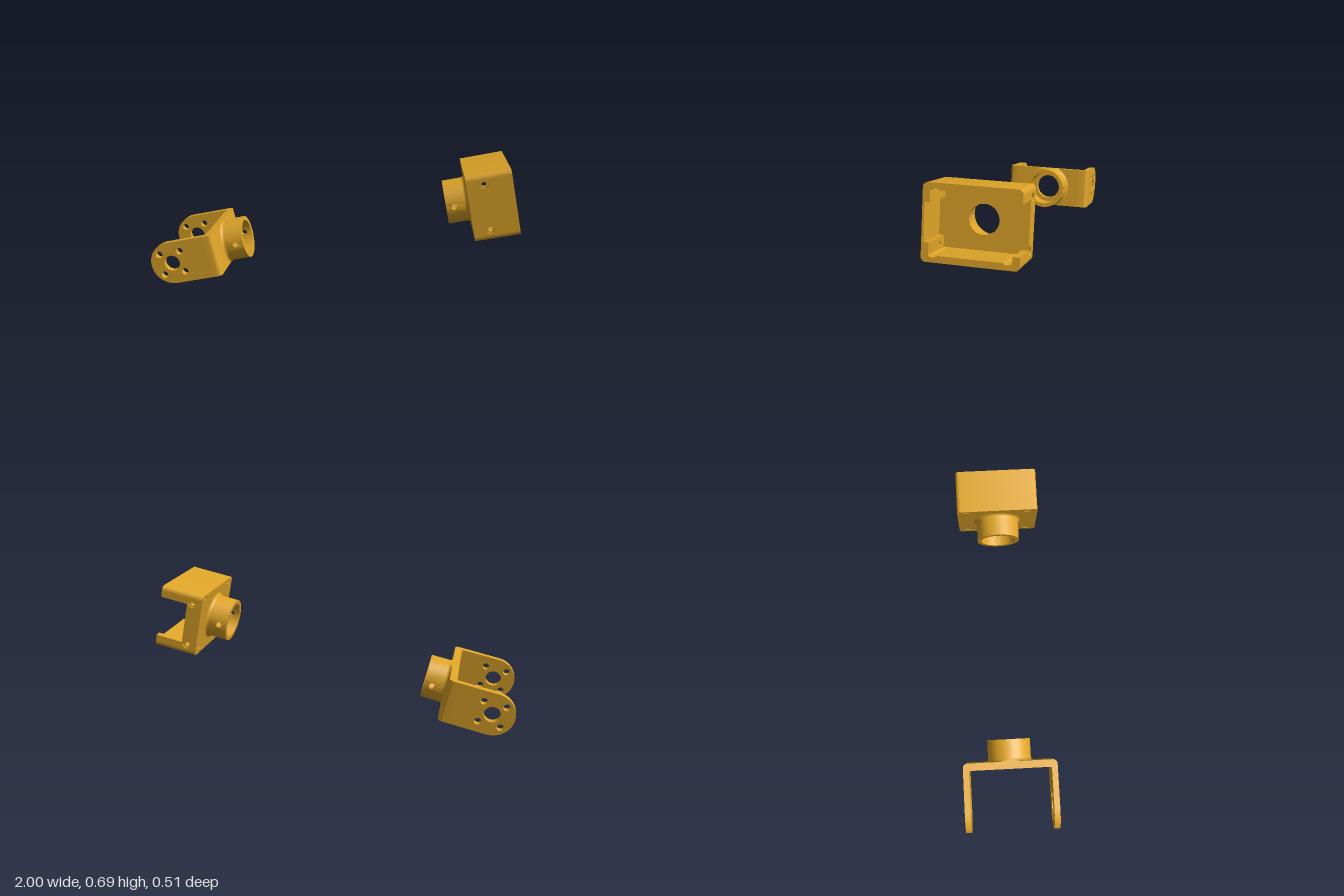
import * as THREE from 'three';
import { toCreasedNormals, mergeGeometries } from 'three/addons/utils/BufferGeometryUtils.js';

const TILT = 0.213;      // both parts lean by the same angle
const TUBE_R = 0.12, BORE_R = 0.097, TUBE_L = 0.12;
const material = new THREE.MeshStandardMaterial({ color: 0xdfa528 });

function add(parent, name, geometry) {
  const mesh = new THREE.Mesh(toCreasedNormals(geometry, 0.6), material);
  mesh.name = name;
  parent.add(mesh);
  return mesh;
}

const extrude = (shape, depth) =>
  new THREE.ExtrudeGeometry(shape, { depth, bevelEnabled: false, curveSegments: 20 });

// Extrude a (z, y) section along +x, starting at x
const alongX = (shape, x, depth) => extrude(shape, depth).rotateY(Math.PI / 2).translate(x, 0, 0);

function polygon(points) {
  return new THREE.Shape(points.map(([x, y]) => new THREE.Vector2(x, y)));
}

function punch(shape, x, y, r) {
  shape.holes.push(new THREE.Path().absarc(x, y, r, 0, Math.PI * 2, true));
  return shape;
}

// Rectangular plate across the x axis with a round passage in the middle
function piercedPlate(halfZ, halfY, x, depth) {
  const s = polygon([[-halfZ, -halfY], [halfZ, -halfY], [halfZ, halfY], [-halfZ, halfY]]);
  return alongX(punch(s, 0, 0, 0.073), x, depth);
}

// Curved piece of tube wall around a pin hole: a flat slab bent round the x axis
function pinSector(angle, half) {
  const pts = [];
  for (let i = 0; i <= 6; i++) pts.push([-half + (half * i) / 3, 0]);
  for (let i = 6; i >= 0; i--) pts.push([-half + (half * i) / 3, TUBE_L]);
  const s = polygon(pts), r = 0.016;
  s.holes.push(new THREE.Path().absellipse(0, 0.075, r / TUBE_R, r, 0, Math.PI * 2, true, 0));
  const g = extrude(s, TUBE_R - BORE_R).translate(0, 0, BORE_R);
  const p = g.attributes.position;
  for (let i = 0; i < p.count; i++) {
    const a = p.getX(i) + angle, rad = p.getZ(i);
    p.setXYZ(i, p.getY(i), -rad * Math.sin(a), rad * Math.cos(a));
  }
  return g;
}

// Socket tube along +x with two pin holes and a filleted foot
function socket(limitY) {
  const group = new THREE.Group();
  group.name = 'tubeSocket';
  const half = 0.2;
  const ring = [[BORE_R, 0], [TUBE_R, 0], [TUBE_R, TUBE_L], [BORE_R, TUBE_L], [BORE_R, 0]]
    .map(([r, u]) => new THREE.Vector2(r, u));
  for (const start of [0, Math.PI]) {
    const wall = new THREE.LatheGeometry(ring, 28, start + half, Math.PI - 2 * half);
    add(group, 'tubeWall', wall.rotateZ(-Math.PI / 2));
    add(group, 'pinHoleWall', pinSector(start, half));
  }
  const f = 0.016, curve = [];
  for (let i = 0; i <= 5; i++) {
    const t = (i / 5) * Math.PI / 2;
    curve.push(new THREE.Vector2(TUBE_R + f - f * Math.sin(t), f - f * Math.cos(t)));
  }
  const fillet = new THREE.LatheGeometry(curve, 64).rotateZ(-Math.PI / 2);
  const p = fillet.attributes.position;
  for (let i = 0; i < p.count; i++) p.setY(i, THREE.MathUtils.clamp(p.getY(i), -limitY, limitY));
  add(group, 'tubeFillet', fillet);
  return group;
}

// Forked bracket; its origin is the hinge axis
function makeFork() {
  const fork = new THREE.Group();
  fork.name = 'forkBracket';
  const H = 0.12, inner = 0.225, outer = 0.257;

  // Round-ended arm with a hub hole and four screw holes
  const arm = new THREE.Shape();
  arm.moveTo(0.2, -H);
  arm.lineTo(0.2, H);
  arm.lineTo(0, H);
  arm.absarc(0, 0, H, Math.PI / 2, Math.PI * 1.5, false);
  arm.lineTo(0.2, -H);
  punch(arm, 0, 0, 0.044);
  for (let i = 0; i < 4; i++) {
    const a = Math.PI / 4 + (i * Math.PI) / 2;
    punch(arm, 0.085 * Math.cos(a), 0.085 * Math.sin(a), 0.019);
  }

  // Rounded bend between arm and back plate, in (x, z)
  const bend = new THREE.Shape();
  bend.moveTo(0.2, inner);
  bend.lineTo(0.2, outer);
  bend.lineTo(0.236, outer);
  bend.absarc(0.236, outer - 0.024, 0.024, Math.PI / 2, 0, true);
  bend.lineTo(0.26, 0.19);
  bend.lineTo(0.22, 0.19);
  bend.lineTo(0.22, inner - 0.012);
  bend.quadraticCurveTo(0.22, inner, 0.208, inner);
  bend.lineTo(0.2, inner);

  for (const side of [1, -1]) {
    add(fork, side > 0 ? 'frontArm' : 'rearArm',
      extrude(arm, outer - inner).translate(0, 0, side > 0 ? inner : -outer));
    const corner = extrude(bend, 2 * H).rotateX(-Math.PI / 2).translate(0, -H, 0);
    add(fork, 'armBend', side > 0 ? corner.rotateX(Math.PI) : corner);
  }
  add(fork, 'backPlate', piercedPlate(0.19, H, 0.22, 0.04));
  const tube = socket(H);
  tube.position.x = 0.26;
  fork.add(tube);
  return fork;
}

// Open box housing; its origin is the middle of the closed face
function makeHousing() {
  const box = new THREE.Group();
  box.name = 'housing';
  const L = 0.237, W = 0.227, H = 0.178, inH = 0.146, inW = 0.192, lip = 0.217;

  add(box, 'floor', piercedPlate(inW, inH, 0, 0.04));

  // Top and bottom walls with rounded outer edges and shallow corner reliefs
  const cap = new THREE.Shape(), r = 0.022;
  cap.moveTo(-W, inH);
  for (const z of [-0.172, 0.172]) {
    cap.lineTo(z - 0.02, inH);
    cap.absellipse(z, inH, 0.02, 0.009, Math.PI, 0, true, 0);
  }
  cap.lineTo(W, inH);
  cap.lineTo(W, H - r);
  cap.absarc(W - r, H - r, r, 0, Math.PI / 2, false);
  cap.lineTo(-W + r, H);
  cap.absarc(-W + r, H - r, r, Math.PI / 2, Math.PI, false);
  cap.lineTo(-W, inH);
  add(box, 'topWall', alongX(cap, 0, L));
  add(box, 'bottomWall', alongX(cap, 0, L).rotateX(Math.PI));

  // Side wall layer: optional notch open to the mouth, plus two screw holes
  function sideLayer(notchX, notchY, holeX, holeR, z0, z1) {
    const notch = notchX ? [[L, -notchY], [notchX, -notchY], [notchX, notchY], [L, notchY]] : [];
    const s = polygon([[0, -inH], [L, -inH], ...notch, [L, inH], [0, inH]]);
    for (const y of [-0.123, 0.123]) punch(s, holeX, y, holeR);
    return extrude(s, z1 - z0).translate(0, 0, z0);
  }
  // Front wall: pocket on the inside, counterbored screws outside
  add(box, 'frontWall', mergeGeometries([
    sideLayer(0.04, 0.09, 0.09, 0.013, inW, lip),
    sideLayer(0, 0, 0.09, 0.022, lip, W)]));
  // Rear wall: cut right through towards the mouth
  add(box, 'rearWall', mergeGeometries([
    sideLayer(0.085, 0.115, 0.055, 0.013, -lip, -inW),
    sideLayer(0.085, 0.115, 0.055, 0.022, -W, -lip)]));

  const tube = socket(1);
  tube.rotation.y = Math.PI;
  box.add(tube);
  return box;
}

export function createModel() {
  const model = new THREE.Group();
  model.name = 'jointBrackets';
  const fork = makeFork();
  fork.position.set(-0.88, 0.12, 0);
  const housing = makeHousing();
  housing.position.set(0.73, 0.47, 0);
  for (const part of [fork, housing]) {
    part.rotation.z = TILT;
    model.add(part);
  }
  return model;
}
